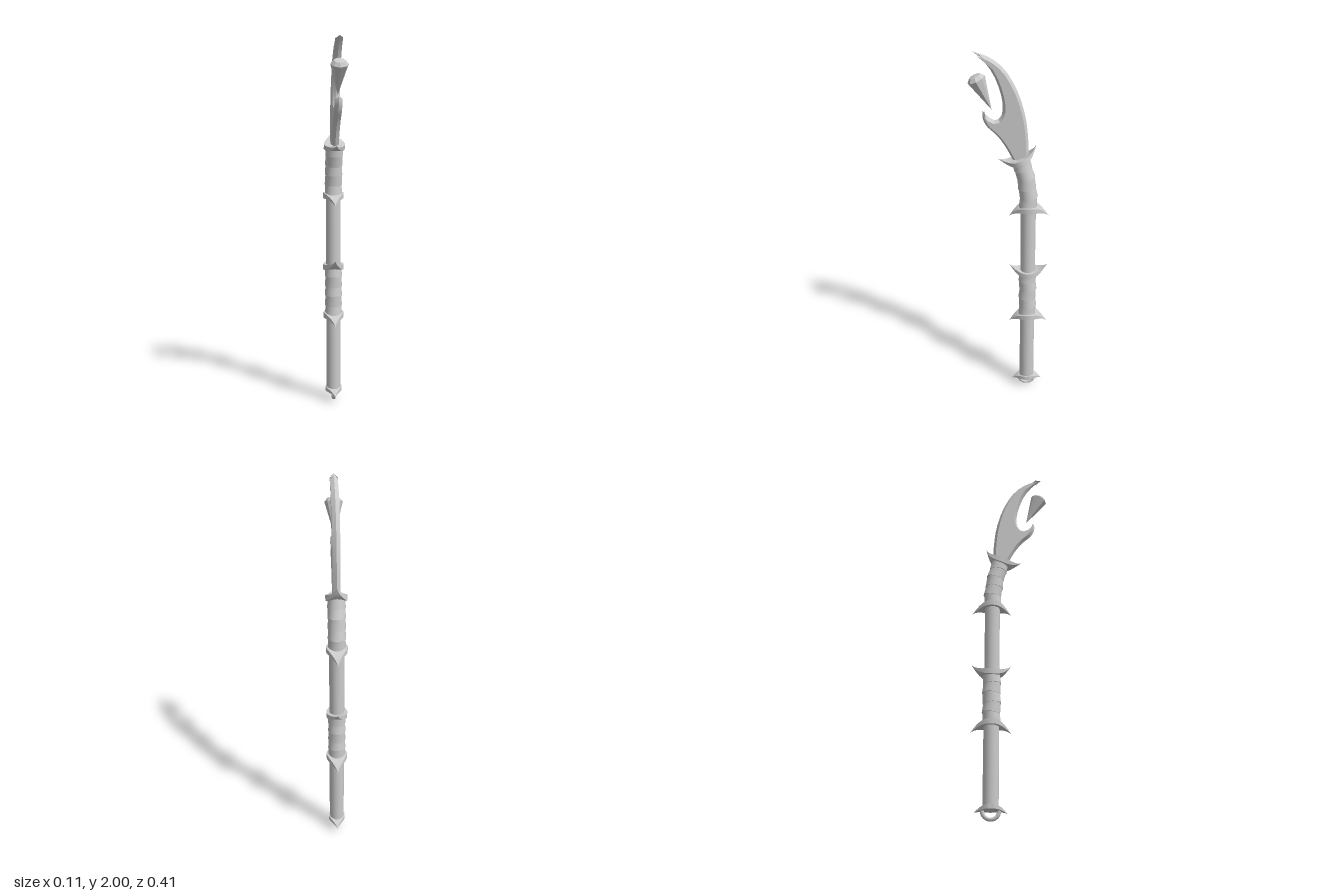
import * as THREE from 'three';
import { toCreasedNormals } from 'three/addons/utils/BufferGeometryUtils.js';

const material = new THREE.MeshStandardMaterial({ color: 0xcccccc });
const AXIS_Z = -0.1; // the shaft stands a little behind the centre

function add(parent, name, geometry, x = 0, y = 0, z = 0) {
  const mesh = new THREE.Mesh(geometry, material);
  mesh.name = name;
  mesh.position.set(x, y, z);
  parent.add(mesh);
  return mesh;
}

function fromTriangles(points, crease) {
  const geometry = new THREE.BufferGeometry().setFromPoints(points);
  geometry.computeVertexNormals();
  return toCreasedNormals(geometry, crease);
}

// Crescent collar: a plate drawn out to drooping points at front and back
function collarGeometry(halfLength, halfWidth, drop, thickness) {
  const n = 20, sections = [], tris = [];
  for (let i = 0; i <= n; i++) {
    const u = (i / n) * 2 - 1, a = Math.abs(u);
    const w = halfWidth * Math.pow(Math.max(0, Math.cos(a * Math.PI / 2)), 1.35);
    const top = -drop * Math.pow(a, 2.4);
    const low = top - thickness * (1 - a * a);
    sections.push([[w, low], [w, top], [-w, top], [-w, low]]
      .map(([x, y]) => new THREE.Vector3(x, y, u * halfLength)));
  }
  for (let i = 0; i < n; i++) {
    for (let j = 0; j < 4; j++) {
      const k = (j + 1) % 4, s = sections[i], t = sections[i + 1];
      tris.push(s[j], s[k], t[k], s[j], t[k], t[j]);
    }
  }
  return fromTriangles(tris, 0.6);
}

// Blade: an outline at the cutting edge, bevelled to a flat face on each side
function bladeGeometry() {
  const runs = [
    // back edge, base to tip
    [[0.10, 1.43], [0.095, 1.553], [0.08, 1.67], [0.042, 1.796], [-0.02, 1.907], [-0.095, 1.97], [-0.177, 2.0]],
    // hollow front edge, tip to claw
    [[-0.177, 2.0], [-0.127, 1.955], [-0.08, 1.89], [-0.048, 1.81], [-0.032, 1.733], [-0.037, 1.68],
      [-0.063, 1.65], [-0.10, 1.664], [-0.132, 1.70]],
    // claw back down to the base
    [[-0.132, 1.70], [-0.132, 1.66], [-0.111, 1.616], [-0.063, 1.569], [-0.021, 1.51], [0.021, 1.43]],
  ];
  const outline = [];
  runs.forEach((run, r) => {
    const pts = new THREE.SplineCurve(run.map(p => new THREE.Vector2(...p))).getPoints(14);
    outline.push(...(r < 2 ? pts.slice(0, -1) : pts));
  });
  const n = outline.length, bevel = 0.013, half = 0.02;
  const inset = outline.map((p, i) => {
    const d0 = p.clone().sub(outline[(i + n - 1) % n]).normalize();
    const d1 = outline[(i + 1) % n].clone().sub(p).normalize();
    const normal = new THREE.Vector2(-d0.y - d1.y, d0.x + d1.x).normalize();
    const miter = Math.max(0.4, normal.dot(new THREE.Vector2(-d0.y, d0.x)));
    return p.clone().addScaledVector(normal, bevel / miter);
  });
  const at = (p, z) => new THREE.Vector3(p.x, p.y, z);
  const tris = [];
  for (const [a, b, c] of THREE.ShapeUtils.triangulateShape(inset, [])) {
    tris.push(at(inset[a], half), at(inset[b], half), at(inset[c], half));
    tris.push(at(inset[c], -half), at(inset[b], -half), at(inset[a], -half));
  }
  for (let i = 0; i < n; i++) {
    const k = (i + 1) % n;
    const e0 = at(outline[i], 0), e1 = at(outline[k], 0);
    const f0 = at(inset[i], half), f1 = at(inset[k], half);
    const b0 = at(inset[i], -half), b1 = at(inset[k], -half);
    tris.push(e0, e1, f1, e0, f1, f0, e1, e0, b0, e1, b0, b1);
  }
  return fromTriangles(tris, 0.5).rotateY(Math.PI / 2);
}

// Grip: overlapping, slightly crooked bands of binding along a curve
function addGrip(parent, name, curve, bands) {
  const grip = new THREE.Group();
  grip.name = name;
  parent.add(grip);
  const step = curve.getLength() / bands;
  for (let i = 0; i < bands; i++) {
    const u = (i + 0.5) / bands;
    const p = curve.getPointAt(u), t = curve.getTangentAt(u);
    const geometry = toCreasedNormals(new THREE.CylinderGeometry(0.044, 0.0475, step * 1.12, 20), 0.6);
    const band = add(grip, 'gripBand', geometry, p.x, p.y, p.z);
    band.rotation.x = Math.atan2(t.z, t.y) + (i % 2 ? 0.09 : -0.07);
  }
}

export function createModel() {
  const model = new THREE.Group();
  model.name = 'curvedBladeStaff';

  // Straight shaft, then a neck that leans forward
  add(model, 'shaft', new THREE.CylinderGeometry(0.04, 0.04, 1.12, 20), 0, 0.62, AXIS_Z);
  const neckCurve = new THREE.CatmullRomCurve3(
    [[1.17, -0.1], [1.25, -0.097], [1.34, -0.083], [1.44, -0.058]].map(([y, z]) => new THREE.Vector3(0, y, z)));
  add(model, 'neck', new THREE.TubeGeometry(neckCurve, 16, 0.04, 20));

  // Bound grips
  const straight = new THREE.LineCurve3(new THREE.Vector3(0, 0.5, AXIS_Z), new THREE.Vector3(0, 0.77, AXIS_Z));
  addGrip(model, 'lowerGrip', straight, 5);
  addGrip(model, 'upperGrip', neckCurve, 5);

  // Crescent collars; raised ones are turned over
  const large = collarGeometry(0.104, 0.056, 0.065, 0.03);
  const small = collarGeometry(0.084, 0.046, 0.04, 0.024);
  const collars = [
    ['buttCollar', small, 0.078, AXIS_Z, 0, 0],
    ['lowerGripBottomCollar', large, 0.511, -0.103, 0, 0],
    ['lowerGripTopCollar', large, 0.752, -0.103, Math.PI, 0],
    ['upperGripBottomCollar', large, 1.178, -0.103, 0, 0],
    ['bladeCollar', large, 1.418, -0.063, Math.PI, 0.37],
  ];
  for (const [name, geometry, y, z, flip, tilt] of collars) {
    add(model, name, geometry, 0, y, z).rotation.set(tilt, 0, flip);
  }

  // Half ring under the butt
  const loop = new THREE.TorusGeometry(0.042, 0.01, 10, 24, Math.PI).rotateZ(Math.PI).rotateY(Math.PI / 2);
  add(model, 'buttLoop', loop, 0, 0.052, AXIS_Z);

  // Hooked blade
  add(model, 'blade', bladeGeometry());

  // Faceted crystal floating in the hook, point down
  const profile = [[0, 0], [0.047, 0.172], [0.03, 0.19], [0, 0.194]].map(p => new THREE.Vector2(...p));
  const crystalGeometry = toCreasedNormals(new THREE.LatheGeometry(profile, 8), 0.1);
  add(model, 'crystal', crystalGeometry, 0, 1.705, 0.087).rotation.x = 0.44;

  return model;
}
